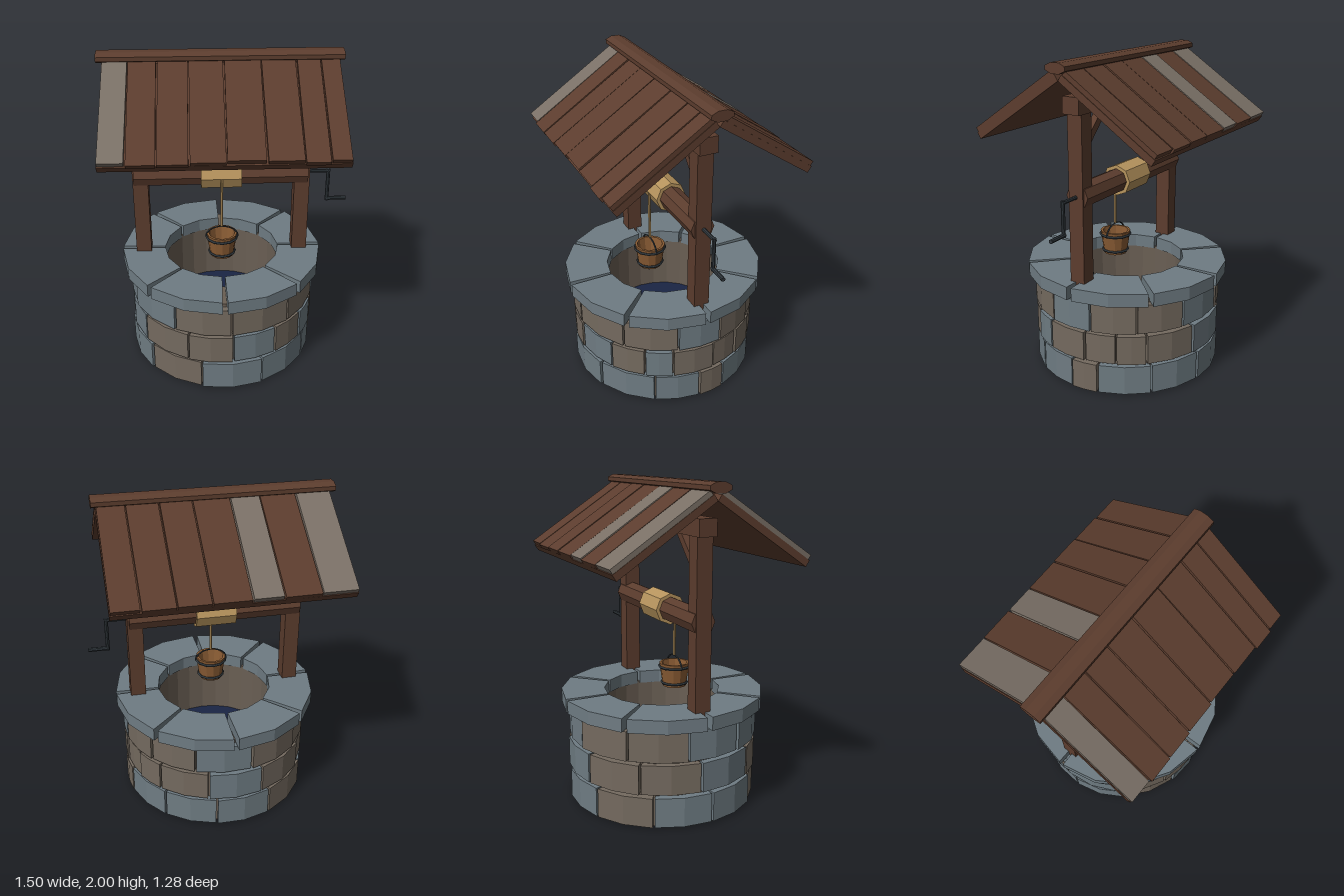
import * as THREE from 'three';

const mat = (name, color, extra = {}) => Object.assign(new THREE.MeshStandardMaterial({ color, ...extra }), { name });
const M = {
  wood: mat('dark wood', 0x5c3d2e),
  grey: mat('weathered wood', 0x7a7066),
  slate: mat('blue grey stone', 0x6f7c83),
  taupe: mat('brown grey stone', 0x746a5f),
  mortar: mat('mortar', 0x6a5f54),
  rope: mat('rope', 0xb8955e),
  iron: mat('iron', 0x2f363b),
  bucket: mat('bucket wood', 0x8a5c34),
  water: mat('water', 0x1a2544, { side: THREE.DoubleSide }),
};

const V = (x, y, z) => new THREE.Vector3(x, y, z);
const RAD = Math.PI / 180;

// Small seeded generator for uneven stones and planks
let seed = 7;
const rnd = () => (seed = (seed * 16807) % 2147483647) / 2147483647;
const jit = (a) => (rnd() - 0.5) * 2 * a;

function flat(geo) {
  const g = geo.index ? geo.toNonIndexed() : geo;
  g.computeVertexNormals();
  return g;
}

function add(parent, name, geo, material, x = 0, y = 0, z = 0) {
  const m = new THREE.Mesh(geo, material);
  m.name = name;
  m.position.set(x, y, z);
  parent.add(m);
  return m;
}

function group(parent, name) {
  const g = new THREE.Group();
  g.name = name;
  parent.add(g);
  return g;
}

const box = (w, h, d) => new THREE.BoxGeometry(w, h, d);

// Round bar between two points
function rod(parent, name, a, b, r, material, sides = 8) {
  const d = b.clone().sub(a);
  const m = add(parent, name, flat(new THREE.CylinderGeometry(r, r, d.length(), sides)), material);
  m.position.copy(a).add(b).multiplyScalar(0.5);
  m.quaternion.setFromUnitVectors(V(0, 1, 0), d.normalize());
  return m;
}

// Curved block; angles in degrees run from the front (+z) towards +x
function arcBlock(a0, a1, r0, r1, h) {
  const pts = [];
  const put = (a, r) => pts.push(new THREE.Vector2(Math.sin(a * RAD) * r, -Math.cos(a * RAD) * r));
  const mid = (a0 + a1) / 2;
  [a0, mid, a1].forEach((a) => put(a, r1));
  [a1, mid, a0].forEach((a) => put(a, r0));
  const g = new THREE.ExtrudeGeometry(new THREE.Shape(pts), { depth: h, bevelEnabled: false });
  return g.rotateX(-Math.PI / 2);
}

function buildWall(parent) {
  const wall = group(parent, 'stoneWall');
  const ring = [[0.37, 0], [0.55, 0], [0.55, 0.62], [0.37, 0.62], [0.37, 0]].map((p) => new THREE.Vector2(...p));
  add(wall, 'mortarRing', flat(new THREE.LatheGeometry(ring, 24)), M.mortar);
  const water = add(wall, 'water', new THREE.CircleGeometry(0.372, 24), M.water, 0, 0.25, 0);
  water.rotation.x = -Math.PI / 2;

  // Courses: seam angles and stone colours (s slate, t taupe)
  const courses = [
    { y: 0.012, seams: [-50, -14, 23, 60, 88, 105, 137, 170, 204, 240, 275], c: 'tssstssstss' },
    { y: 0.214, seams: [-55, -22, 5, 32, 54, 71, 97, 116, 134, 165, 198, 232, 268], c: 'ttststtttstts' },
    { y: 0.416, seams: [-66, -30, 4, 41, 74, 101, 128, 157, 191, 225, 260], c: 'stttsttstts' },
  ];
  for (const { y, seams, c } of courses) {
    seams.forEach((a, i) => {
      const next = i + 1 < seams.length ? seams[i + 1] : seams[0] + 360;
      const geo = arcBlock(a + 0.6, next - 0.6, 0.53, 0.594 + jit(0.006), 0.183);
      add(wall, 'wallStone', geo, c[i] === 's' ? M.slate : M.taupe, 0, y, 0);
    });
  }

  // Eight capstones with open joints
  for (let i = 0; i < 8; i++) {
    add(wall, 'capStone', arcBlock(i * 45 + 1.4, i * 45 + 43.6, 0.365, 0.638, 0.083), M.slate, 0, 0.608, 0);
  }
}

function buildFrame(parent) {
  const frame = group(parent, 'frame');
  for (const s of [-1, 1]) {
    add(frame, 'post', box(0.095, 1.33, 0.098), M.wood, s * 0.5, 1.045, 0);
    const brace = add(frame, 'brace', box(0.045, 0.34, 0.045), M.wood, s * 0.36, 1.61, 0);
    brace.rotation.z = s * Math.PI / 4;
  }
  add(frame, 'topBeam', box(1.16, 0.1, 0.112), M.wood, 0, 1.752, 0);
}

function buildWinch(parent) {
  const winch = group(parent, 'winch');
  const y = 1.22;
  rod(winch, 'axle', V(-0.54, y, 0), V(0.535, y, 0), 0.075, M.wood);
  rod(winch, 'ropeCoil', V(-0.125, y, 0), V(0.125, y, 0), 0.097, M.rope);
  rod(winch, 'rope', V(0, 0.89, 0.09), V(0, 1.22, 0.09), 0.009, M.rope, 6);
  // Crank
  rod(winch, 'crankShaft', V(0.53, y, 0), V(0.68, y, 0), 0.012, M.iron);
  rod(winch, 'crankArm', V(0.67, 1.232, 0), V(0.67, 1.015, 0), 0.012, M.iron);
  rod(winch, 'crankHandle', V(0.66, 1.027, 0), V(0.79, 1.027, 0), 0.013, M.iron);
}

function buildBucket(parent) {
  const bucket = group(parent, 'bucket');
  bucket.position.set(0, 0.69, 0.09);
  const body = [[0, 0], [0.075, 0], [0.097, 0.152], [0.082, 0.152], [0.064, 0.02], [0, 0.02]];
  add(bucket, 'bucketBody', flat(new THREE.LatheGeometry(body.map((p) => new THREE.Vector2(...p)), 12)), M.bucket);
  for (const [y, r] of [[0.022, 0.081], [0.128, 0.097]]) {
    const hoop = add(bucket, 'hoop', flat(new THREE.TorusGeometry(r, 0.009, 5, 12)), M.iron, 0, y, 0);
    hoop.rotation.x = Math.PI / 2;
  }
  const handle = add(bucket, 'bucketHandle', flat(new THREE.TorusGeometry(0.1, 0.006, 5, 14, Math.PI)), M.iron, 0, 0.13, 0);
  handle.scale.y = 0.68;
}

function buildRoof(parent) {
  const roof = group(parent, 'roof');
  // Plank edges along x for each slope, with the indices of weathered planks
  const slopes = [
    { dir: 1, edges: [-0.72, -0.57, -0.405, -0.228, -0.027, 0.188, 0.39, 0.53, 0.645], grey: [0] },
    { dir: -1, edges: [-0.72, -0.51, -0.295, -0.12, 0.1, 0.29, 0.48, 0.645], grey: [0, 2] },
  ];
  for (const { dir, edges, grey } of slopes) {
    const side = group(roof, dir > 0 ? 'frontSlope' : 'backSlope');
    if (dir < 0) side.rotation.y = Math.PI;
    const slope = group(side, 'slope');
    slope.position.y = 1.9;
    slope.rotation.x = 0.585;
    add(slope, 'deck', box(1.365, 0.042, 0.693), M.wood, dir * -0.0375, 0.021, 0.3465);
    for (let i = 0; i + 1 < edges.length; i++) {
      const w = edges[i + 1] - edges[i] - 0.008;
      const len = 0.685 + jit(0.012);
      const t = 0.03 + jit(0.003);
      const x = dir * (edges[i] + edges[i + 1]) / 2;
      const plank = add(slope, 'plank', box(w, t, len), grey.includes(i) ? M.grey : M.wood, x, 0.042 + t / 2, 0.005 + len / 2);
      plank.rotation.y = jit(0.008);
    }
  }
  // Flattened eight-sided ridge pole
  const ridge = new THREE.CylinderGeometry(1, 1, 1.42, 8).rotateY(Math.PI / 8).rotateZ(Math.PI / 2);
  ridge.scale(1, 0.0325, 0.07);
  add(roof, 'ridge', flat(ridge), M.wood, -0.04, 1.97, 0);
}

export function createModel() {
  seed = 7;
  const model = new THREE.Group();
  model.name = 'well';
  const base = group(model, 'wellBody');
  base.position.x = -0.04;
  buildWall(base);
  buildFrame(base);
  buildWinch(base);
  buildBucket(base);
  buildRoof(model);
  return model;
}
